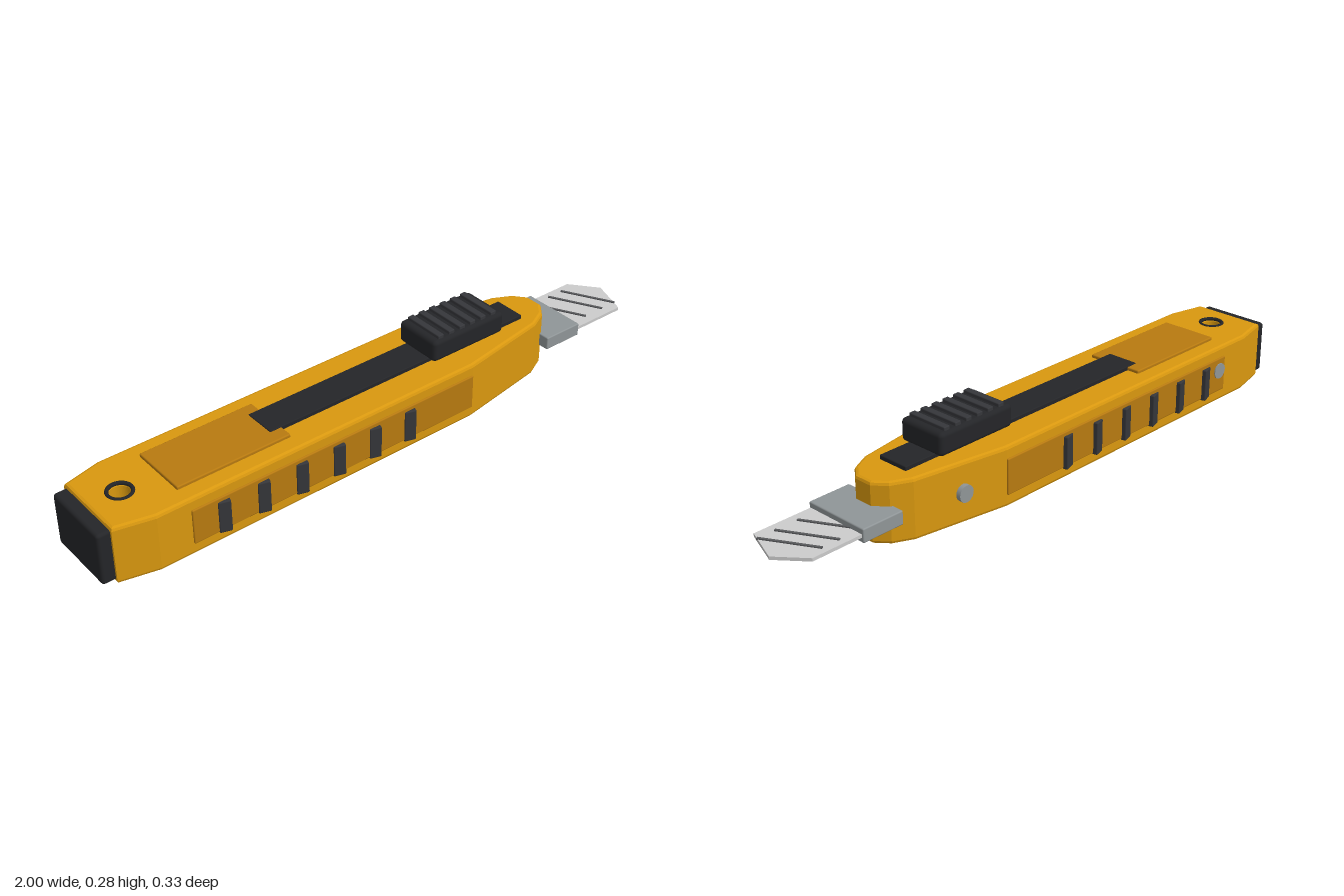
import * as THREE from 'three';
import { RoundedBoxGeometry } from 'three/addons/geometries/RoundedBoxGeometry.js';

const paint = (color) => new THREE.MeshStandardMaterial({ color });
const yellow = paint(0xd9980f), amber = paint(0xb87a10), black = paint(0x242528);
const rubber = paint(0x35363a), steel = paint(0x8f9597), bladeSteel = paint(0xbcbcbe), groove = paint(0x58595c);

export function createModel() {
  const model = new THREE.Group();
  model.name = 'utilityKnife';

  const add = (name, geometry, material, x = 0, y = 0, z = 0) => {
    const mesh = new THREE.Mesh(geometry, material);
    mesh.name = name;
    mesh.position.set(x, y, z);
    model.add(mesh);
    return mesh;
  };
  // Rounded box given by its lower and upper limits
  const block = (name, material, [x0, x1], [y0, y1], [z0, z1], r = 0.004) =>
    add(name, new RoundedBoxGeometry(x1 - x0, y1 - y0, z1 - z0, 2, r), material,
      (x0 + x1) / 2, (y0 + y1) / 2, (z0 + z1) / 2);
  // Plan outline in (x, z) extruded upwards, with a small bevel
  const slab = (shape, y0, y1, bevel) => {
    const g = new THREE.ExtrudeGeometry(shape, {
      depth: y1 - y0 - 2 * bevel, bevelEnabled: bevel > 0, bevelSize: bevel, bevelOffset: -bevel,
      bevelThickness: bevel, bevelSegments: 2, curveSegments: 24,
    });
    return g.rotateX(-Math.PI / 2).translate(0, y0 + bevel, 0);
  };

  // Handle: tapered nose, chamfered tail and a lanyard hole
  const half = [[-0.96, 0.122], [-0.84, 0.15], [0.27, 0.15], [0.575, 0.1], [0.635, 0.07], [0.668, 0.03]];
  const outline = [...half.map(([x, z]) => [x, -z]), ...half.slice().reverse()];
  const handleShape = new THREE.Shape(outline.map(([x, z]) => new THREE.Vector2(x, z)));
  const hole = new THREE.Path();
  hole.absarc(-0.86, 0, 0.032, 0, Math.PI * 2, true);
  handleShape.holes.push(hole);
  add('handle', slab(handleShape, 0, 0.19, 0.01), yellow);
  add('lanyardRing', new THREE.TorusGeometry(0.036, 0.006, 8, 32).rotateX(Math.PI / 2), black, -0.86, 0.188, 0);
  block('endCap', black, [-1, -0.95], [0.01, 0.18], [-0.115, 0.115], 0.01);

  // Top inlay, slider track and thumb slider
  block('topInlay', amber, [-0.74, -0.365], [0.18, 0.2], [-0.095, 0.095]);
  block('sliderTrack', black, [-0.405, 0.56], [0.18, 0.203], [-0.053, 0.053], 0.003);
  block('slider', black, [0.175, 0.455], [0.198, 0.27], [-0.082, 0.082], 0.014);
  for (let i = 0; i < 6; i++) {
    const x = 0.21 + i * 0.042;
    block('sliderRidge', rubber, [x - 0.011, x + 0.011], [0.26, 0.28], [-0.071, 0.071], 0.003);
  }

  // Side grips: inlay with tilted ribs, mirrored front to back
  for (const s of [1, -1]) {
    block('gripInlay', amber, [-0.735, 0.27], [0.038, 0.153], [s * 0.147 - 0.008, s * 0.147 + 0.008]);
    for (let i = 0; i < 6; i++) {
      const rib = add('gripRib', new RoundedBoxGeometry(0.038, 0.106, 0.018, 2, 0.004), rubber,
        -0.635 + i * 0.131, 0.087, s * 0.154);
      rib.rotation.y = -s * 0.3;
    }
  }

  // Screws on the back side
  for (const x of [-0.705, 0.435])
    add('screw', new THREE.CylinderGeometry(0.026, 0.026, 0.015, 20).rotateX(Math.PI / 2), steel, x, 0.11, -0.151);

  // Blade holder and snap-off blade
  block('bladeHolder', steel, [0.625, 0.765], [0.075, 0.118], [-0.111, 0.111]);
  const bladeShape = new THREE.Shape(
    [[0.64, -0.105], [0.955, -0.105], [1, 0.018], [0.93, 0.105], [0.64, 0.105]]
      .map(([x, y]) => new THREE.Vector2(x, y)));
  add('blade', slab(bladeShape, 0.091, 0.101, 0), bladeSteel);
  for (const x of [0.79, 0.865, 0.923]) {
    const line = add('bladeScore', new THREE.BoxGeometry(0.183, 0.005, 0.008), groove, x, 0.102, -0.004);
    line.rotation.y = -Math.atan2(0.16, 0.085);
  }
  return model;
}
